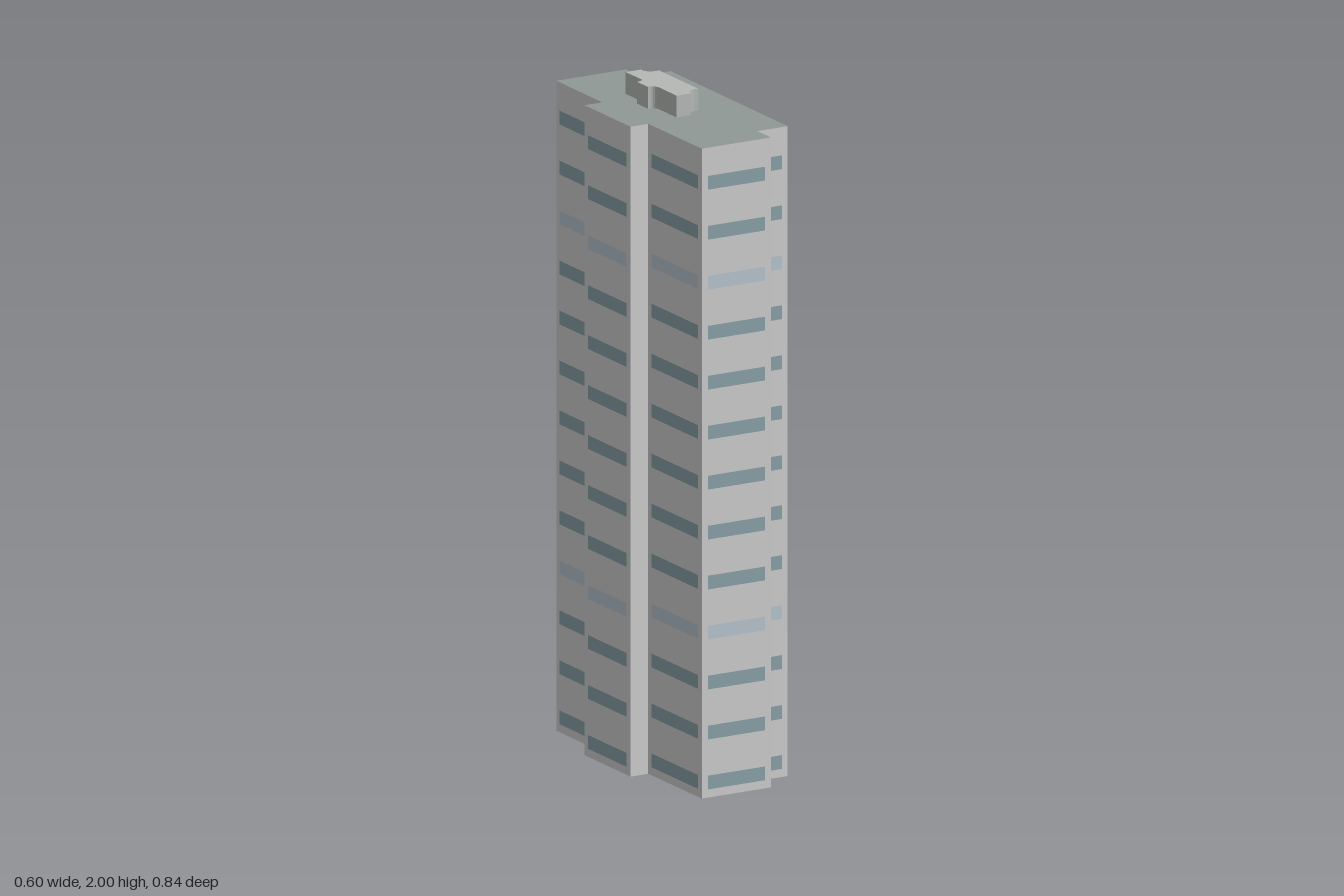
import * as THREE from 'three';

const H = 1.935;          // roof height
const FLOORS = 13;
const STEP = 0.1488;      // floor spacing
const WIN_H = 0.041;

// Footprint corners (x, z), clockwise from above. Third value: windows per floor on the wall that starts here.
const footprint = [
  [0.028, -0.422, 1], [0.239, -0.329, 0], [0.207, -0.255, 1], [0.3, -0.215, 2],
  [0.033, 0.39, 1], [-0.06, 0.35, 0], [-0.09, 0.42, 1], [-0.3, 0.327, 1],
  [-0.181, 0.052, 0], [-0.235, 0.029, 1], [-0.131, -0.208, 0], [-0.077, -0.185, 1],
];

const material = (color, side = THREE.FrontSide) =>
  new THREE.MeshStandardMaterial({ color, side, flatShading: true });

// Upright rectangle on the wall from p to q, spanning distances a..b along it
function panel(p, q, a, b, y, height, offset, mat, name) {
  const length = Math.hypot(q[0] - p[0], q[1] - p[1]);
  const dx = (q[0] - p[0]) / length, dz = (q[1] - p[1]) / length;
  const mid = (a + b) / 2;
  const mesh = new THREE.Mesh(new THREE.PlaneGeometry(b - a, height), mat);
  mesh.position.set(p[0] + dx * mid + dz * offset, y, p[1] + dz * mid - dx * offset);
  mesh.rotation.y = Math.atan2(dz, -dx);
  mesh.name = name;
  return mesh;
}

// Plan outline as a shape, to be laid flat with rotateX(-90 degrees)
const planShape = (points) => new THREE.Shape(points.map(([x, z]) => new THREE.Vector2(x, -z)));

export function createModel() {
  const model = new THREE.Group();
  model.name = 'towerBlock';
  const wallMat = material(0xcccccc, THREE.DoubleSide);
  const darkGlass = material(0x879fa6);
  const paleGlass = material(0xb5c3cc);

  const walls = new THREE.Group();
  walls.name = 'walls';
  const windows = new THREE.Group();
  windows.name = 'windows';
  model.add(walls, windows);

  // Walls (open underneath) with window bands on each floor
  footprint.forEach((p, i) => {
    const q = footprint[(i + 1) % footprint.length];
    const length = Math.hypot(q[0] - p[0], q[1] - p[1]);
    walls.add(panel(p, q, 0, length, H / 2, H, 0, wallMat, 'wall'));
    const count = p[2], margin = 0.02, gap = 0.01;
    const width = (length - 2 * margin - (count - 1) * gap) / count;
    for (let k = 0; k < count; k++) {
      const start = margin + k * (width + gap);
      // Pale bands repeat on the same floors, except on the second half of the long wall
      const paleFloors = k === 1 ? [6] : [3, 10];
      for (let f = 0; f < FLOORS; f++) {
        const glass = paleFloors.includes(f) ? paleGlass : darkGlass;
        windows.add(panel(p, q, start, start + width, 0.045 + f * STEP, WIN_H, 0.001, glass, 'window'));
      }
    }
  });

  // Flat roof
  const roof = new THREE.Mesh(
    new THREE.ShapeGeometry(planShape(footprint)).rotateX(-Math.PI / 2),
    material(0x8f9994, THREE.DoubleSide));
  roof.position.y = H;
  roof.name = 'roof';
  model.add(roof);

  // Rooftop plant room with scooped corners
  const plan = planShape([[0.033, -0.181], [0.08, -0.161]]);
  const scoop = (c1x, c1z, c2x, c2z, x, z) => plan.bezierCurveTo(c1x, -c1z, c2x, -c2z, x, -z);
  const line = (x, z) => plan.lineTo(x, -z);
  scoop(0.065, -0.14, 0.08, -0.118, 0.103, -0.114);
  line(0.015, 0.088);
  scoop(-0.005, 0.073, -0.03, 0.08, -0.035, 0.099);
  line(-0.081, 0.081);
  line(-0.04, -0.011);
  scoop(-0.036, -0.028, -0.042, -0.037, -0.054, -0.04);
  line(-0.03, -0.096);
  scoop(-0.015, -0.088, -0.003, -0.095, 0, -0.104);
  plan.closePath();
  const plantRoom = new THREE.Mesh(
    new THREE.ExtrudeGeometry(plan, { depth: 2 - H, bevelEnabled: false, curveSegments: 6 }).rotateX(-Math.PI / 2),
    material(0xb4b8b5));
  plantRoom.position.y = H;
  plantRoom.name = 'plantRoom';
  model.add(plantRoom);

  return model;
}
